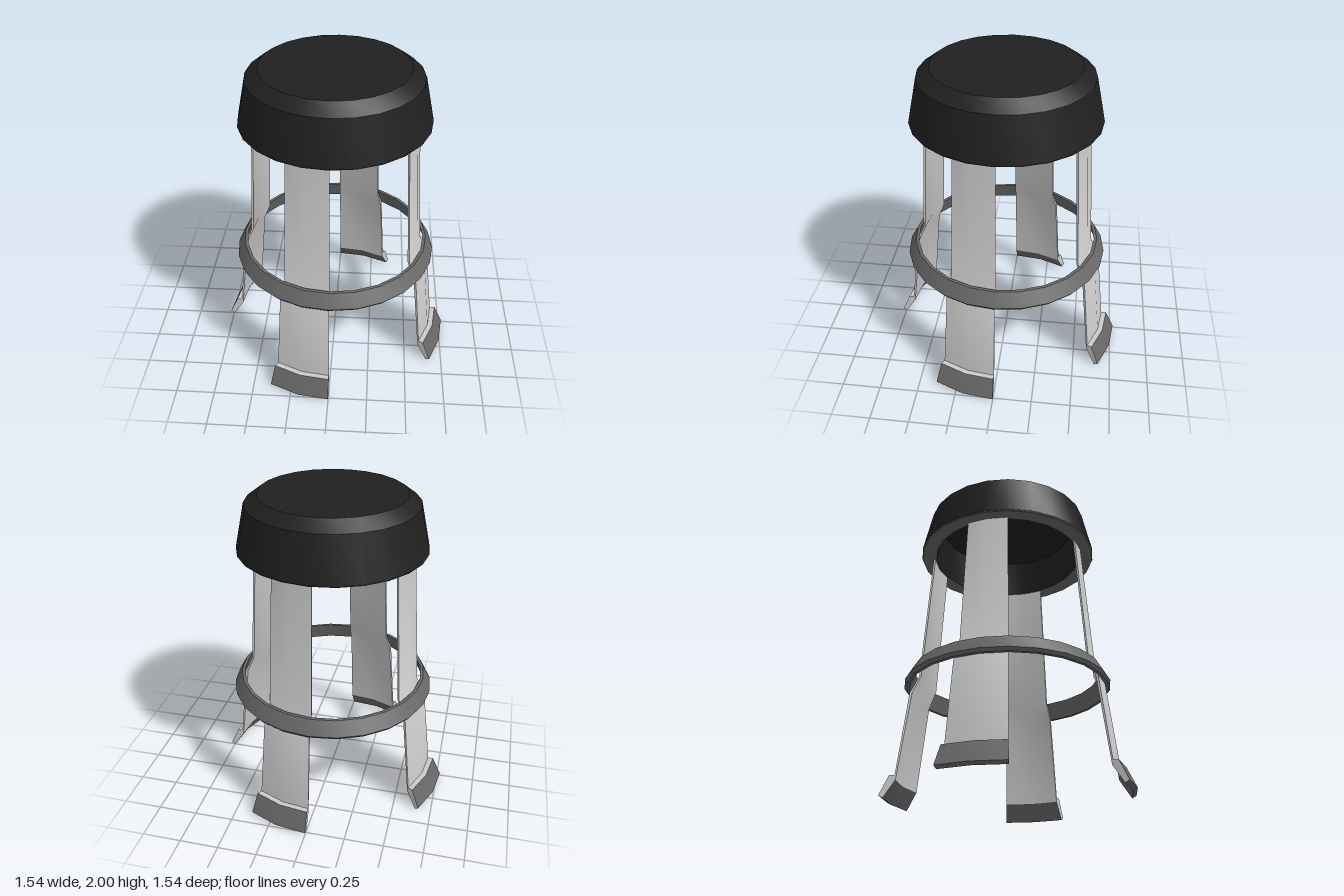
import * as THREE from 'three';
import { mergeGeometries, toCreasedNormals } from 'three/addons/utils/BufferGeometryUtils.js';

const STEP = Math.PI / 12; // 24 sides per full turn
const CREASE = 0.5;

const steel = new THREE.MeshStandardMaterial({ color: 0xcccccc });
const darkMetal = new THREE.MeshStandardMaterial({ color: 0x686868 });
const padding = new THREE.MeshStandardMaterial({ color: 0x202020 });

const vecs = (pts) => pts.map(([r, y]) => new THREE.Vector2(r, y));

// Sweep a (radius, height) profile around y; outer side runs upwards.
function sweep(pts, sides = 24, start = 0) {
  return new THREE.LatheGeometry(vecs(pts), sides, start, sides * STEP);
}

// Flat end of a swept profile at angle phi.
function endCap(pts, phi, flip) {
  const g = new THREE.ShapeGeometry(new THREE.Shape(vecs(pts)));
  if (flip) g.setIndex(Array.from(g.index.array).reverse());
  return g.rotateY(phi - Math.PI / 2);
}

function part(name, geometry, material) {
  const mesh = new THREE.Mesh(toCreasedNormals(geometry, CREASE), material);
  mesh.name = name;
  return mesh;
}

export function createModel() {
  const stool = new THREE.Group();
  stool.name = 'stool';

  // Padded seat, hollow underneath
  stool.add(part('seat', sweep([[0.59, 1.66], [0.53, 1.94], [0.45, 2], [0, 2]]), padding));
  stool.add(part('seatInside', sweep([[0, 1.9], [0.45, 1.9], [0.49, 1.66]]), padding));
  stool.add(part('seatRim', sweep([[0.49, 1.66], [0.585, 1.655], [0.59, 1.665]]), darkMetal));

  // Slanted foot ring
  stool.add(part('footRing', sweep([
    [0.62, 0.675], [0.64, 0.675], [0.655, 0.695], [0.605, 0.785], [0.585, 0.785], [0.62, 0.675],
  ]), darkMetal));

  // Curved plate legs, each ending in a flared foot with a dark pad
  const plate = [
    [0.715, 0.14], [0.682, 0.14], [0.622, 0.67], [0.567, 0.785], [0.51, 1.67],
    [0.498, 1.67], [0.555, 0.785], [0.606, 0.67], [0.675, 0.11],
  ];
  const pad = [[0.675, 0.11], [0.745, 0], [0.772, 0.015], [0.715, 0.14]];
  const outline = [...plate, ...pad.slice(1, -1)];
  const start = -2 * STEP;

  for (let i = 0; i < 4; i++) {
    const leg = new THREE.Group();
    leg.name = 'leg';
    const body = mergeGeometries([
      sweep(plate, 2, start), endCap(outline, start, false), endCap(outline, 0, true),
    ]);
    leg.add(part('legPlate', body, steel));
    leg.add(part('footPad', sweep(pad, 2, start), darkMetal));
    leg.rotation.y = i * Math.PI / 2;
    stool.add(leg);
  }
  return stool;
}
